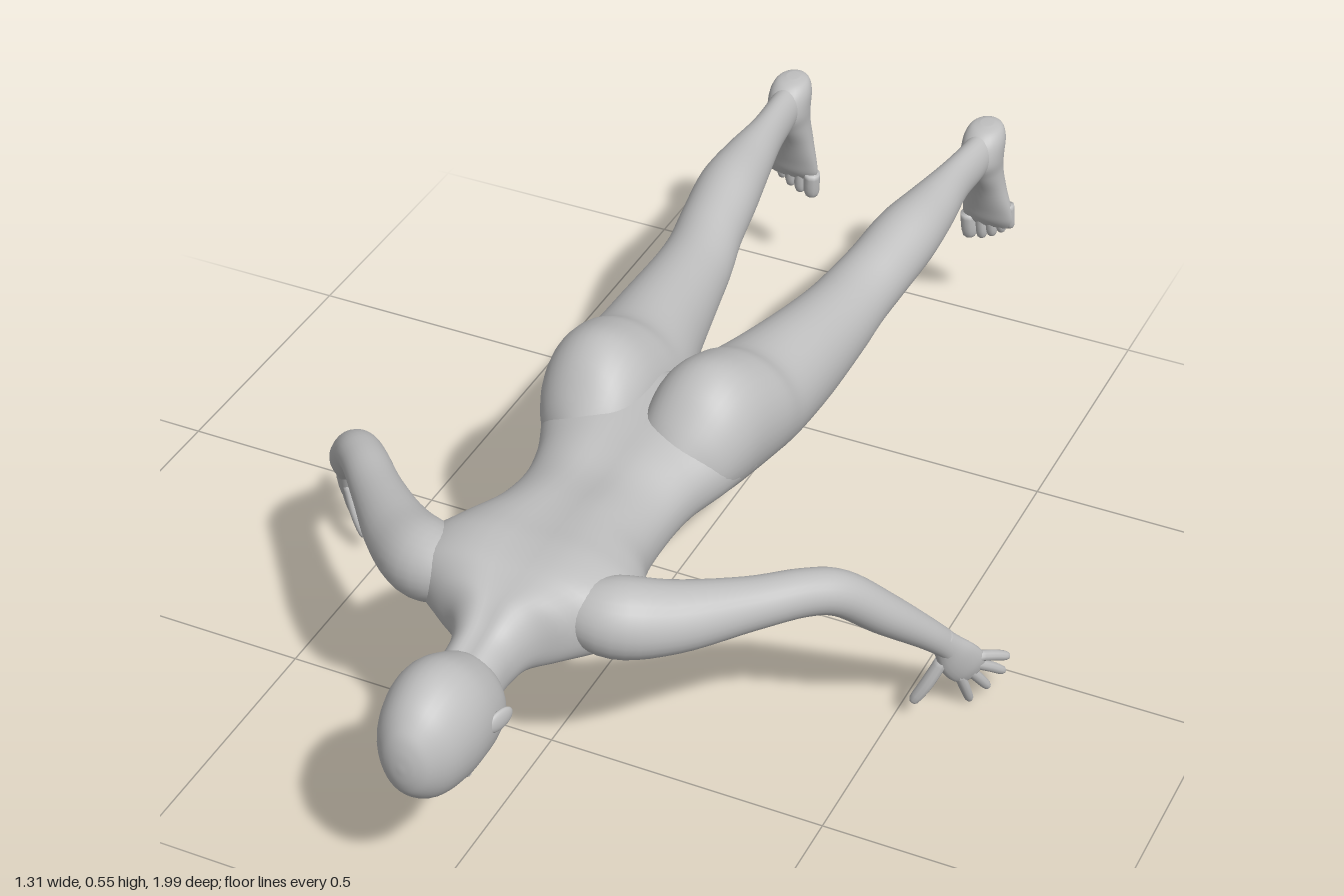
import * as THREE from 'three';

const skin = new THREE.MeshStandardMaterial({ color: 0xbfbfbf });
skin.name = 'plain grey';

const UP = [0, 1, 0], BACK = [0, 0, -1], DOWN = [0, -1, 0];

// Catmull-Rom blend of one value
function blend(a, b, c, d, t) {
  return 0.5 * (2 * b + (c - a) * t + (2 * a - 5 * b + 4 * c - d) * t * t + (3 * b - a - 3 * c + d) * t * t * t);
}

// Smooth skin over elliptical sections [x, y, z, halfWidth, halfThickness].
// ref is the thickness direction; axis, if given, keeps all sections parallel.
// side = -1 mirrors the part to the other half of the body.
function loft(name, rows, { ref = UP, axis = null, side = 1, seg = 28, steps = 5, power = 1, groove = 0 } = {}) {
  const last = rows.length - 1, rings = [];
  const row = i => rows[Math.max(0, Math.min(last, i))];
  for (let i = 0; i < last; i++)
    for (let k = 0; k < steps + (i === last - 1 ? 1 : 0); k++)
      rings.push(rows[0].map((_, n) => {
        const v = blend(row(i - 1)[n], row(i)[n], row(i + 1)[n], row(i + 2)[n], k / steps);
        return n === 0 ? v * side : n > 2 ? Math.max(v, 0.001) : v;
      }));
  const pos = [], idx = [], centre = rings.map(r => new THREE.Vector3(r[0], r[1], r[2]));
  const bend = v => Math.sign(v) * Math.abs(v) ** power;
  rings.forEach((r, i) => {
    const T = axis ? new THREE.Vector3(axis[0] * side, axis[1], axis[2])
      : centre[Math.min(i + 1, rings.length - 1)].clone().sub(centre[Math.max(i - 1, 0)]).normalize();
    const N = new THREE.Vector3(ref[0] * side, ref[1], ref[2]);
    N.addScaledVector(T, -N.dot(T)).normalize();
    const S = N.clone().cross(T);
    for (let j = 0; j < seg; j++) {
      const a = j / seg * Math.PI * 2, c = bend(Math.cos(a)), s = bend(Math.sin(a));
      const dip = s > 0 ? groove * Math.exp(-c * c * 12) * r[4] : 0;
      const p = centre[i].clone().addScaledVector(S, c * r[3]).addScaledVector(N, s * r[4] - dip);
      pos.push(p.x, p.y, p.z);
    }
  });
  for (let i = 0; i < rings.length - 1; i++)
    for (let j = 0; j < seg; j++) {
      const a = i * seg + j, b = i * seg + (j + 1) % seg;
      idx.push(a, b, a + seg, b, b + seg, a + seg);
    }
  // end caps
  const p0 = pos.length / 3, end = (rings.length - 1) * seg;
  pos.push(...centre[0].toArray(), ...centre[centre.length - 1].toArray());
  for (let j = 0; j < seg; j++) {
    const k = (j + 1) % seg;
    idx.push(p0, k, j, p0 + 1, end + j, end + k);
  }
  const g = new THREE.BufferGeometry();
  g.setAttribute('position', new THREE.Float32BufferAttribute(pos, 3));
  g.setIndex(idx);
  g.computeVertexNormals();
  const m = new THREE.Mesh(g, skin);
  m.name = name;
  return m;
}

// Section along z given by its top and bottom heights
const slice = ([z, top, bottom, half, x = 0]) => [x, (top + bottom) / 2, z, half, (top - bottom) / 2];

function blob(name, x, y, z, rx, ry, rz) {
  const m = new THREE.Mesh(new THREE.SphereGeometry(1, 24, 16), skin);
  m.name = name;
  m.position.set(x, y, z);
  m.scale.set(rx, ry, rz);
  return m;
}

// Finger or toe: round tapered rod through points
function digit(name, pts, r, side) {
  const a = pts[0], n = pts.length - 1, b = pts[n], e = pts[n - 1];
  const near = b.map((v, i) => v + (e[i] - v) * 0.15);
  const rows = [[...a, r, r], ...pts.slice(1, -1).map(p => [...p, r, r]), [...near, r * 0.8, r * 0.8], [...b, 0.001, 0.001]];
  return loft(name, rows, { ref: [0.77, 0, 0.64], side, seg: 10, steps: 3 });
}

export function createModel() {
  const model = new THREE.Group();
  model.name = 'proneFigure';

  // Neck, shoulders, back and hips
  model.add(loft('torso', [
    [0.84, 0.40, 0.32, 0.045], [0.78, 0.412, 0.29, 0.052], [0.73, 0.425, 0.295, 0.056],
    [0.69, 0.45, 0.305, 0.078], [0.66, 0.465, 0.31, 0.13], [0.62, 0.484, 0.31, 0.185],
    [0.56, 0.49, 0.29, 0.20], [0.50, 0.484, 0.285, 0.18], [0.42, 0.474, 0.28, 0.145],
    [0.32, 0.458, 0.287, 0.138], [0.24, 0.468, 0.295, 0.15], [0.16, 0.478, 0.30, 0.18],
    [0.06, 0.48, 0.30, 0.20], [0.01, 0.46, 0.30, 0.17], [-0.02, 0.42, 0.31, 0.08],
  ].map(slice), { axis: BACK, seg: 48, power: 0.9, groove: 0.1 }));

  // Head, face down
  const head = new THREE.Group();
  head.name = 'head';
  head.add(loft('skull', [
    [1.0, 0.345, 0.335, 0.004], [0.996, 0.375, 0.305, 0.024], [0.983, 0.405, 0.275, 0.045],
    [0.95, 0.437, 0.246, 0.069], [0.9, 0.455, 0.234, 0.083], [0.85, 0.45, 0.234, 0.085],
    [0.8, 0.424, 0.236, 0.077], [0.77, 0.40, 0.236, 0.063], [0.75, 0.36, 0.238, 0.042],
    [0.742, 0.31, 0.25, 0.018],
  ].map(slice), { axis: BACK, seg: 36 }));
  head.add(loft('nose', [
    [0, 0.242, 0.885, 0.006, 0.008], [0, 0.236, 0.86, 0.009, 0.012],
    [0, 0.228, 0.838, 0.014, 0.014], [0, 0.236, 0.824, 0.008, 0.004],
  ], { axis: BACK, seg: 14 }));
  head.add(blob('lips', 0, 0.237, 0.797, 0.024, 0.009, 0.011));
  head.add(blob('chin', 0, 0.246, 0.765, 0.026, 0.016, 0.018));
  for (const s of [1, -1]) {
    const ear = blob('ear', s * 0.086, 0.345, 0.835, 0.008, 0.019, 0.03);
    ear.rotation.y = -s * 0.25;
    head.add(ear, blob('eyelid', s * 0.034, 0.245, 0.868, 0.016, 0.009, 0.009));
  }
  model.add(head);

  for (const side of [1, -1]) {
    const word = side > 0 ? 'left' : 'right';

    model.add(blob(word + 'Breast', side * 0.085, 0.312, 0.465, 0.062, 0.057, 0.072));

    // Buttock, thigh, knee and calf
    const leg = new THREE.Group();
    leg.name = word + 'Leg';
    leg.add(loft('buttockThighAndCalf', [
      [0.23, 0.43, 0.34, 0.03, 0.085], [0.19, 0.485, 0.32, 0.075, 0.09], [0.14, 0.532, 0.31, 0.095, 0.098],
      [0.08, 0.55, 0.302, 0.104, 0.103], [0.0, 0.525, 0.296, 0.108, 0.109], [-0.07, 0.492, 0.284, 0.104, 0.112],
      [-0.2, 0.474, 0.282, 0.087, 0.13], [-0.34, 0.455, 0.30, 0.073, 0.145], [-0.42, 0.452, 0.318, 0.067, 0.153],
      [-0.5, 0.464, 0.335, 0.063, 0.166], [-0.6, 0.479, 0.352, 0.061, 0.178], [-0.7, 0.474, 0.365, 0.049, 0.186],
      [-0.8, 0.467, 0.376, 0.034, 0.191], [-0.88, 0.464, 0.378, 0.03, 0.197], [-0.94, 0.463, 0.39, 0.03, 0.2],
    ].map(slice), { axis: BACK, side, seg: 36 }));

    // Foot hanging down from the ankle, sole to the back
    leg.add(loft('foot', [
      [0.2, 0.473, -0.95, 0.012, 0.015], [0.2, 0.466, -0.946, 0.03, 0.036], [0.2, 0.445, -0.938, 0.039, 0.05],
      [0.2, 0.41, -0.932, 0.039, 0.055], [0.2, 0.375, -0.942, 0.037, 0.045], [0.201, 0.33, -0.957, 0.041, 0.032],
      [0.204, 0.28, -0.967, 0.049, 0.022], [0.205, 0.25, -0.972, 0.051, 0.017], [0.205, 0.232, -0.975, 0.044, 0.01],
    ], { axis: DOWN, ref: [0, 0, 1], side, seg: 28 }));
    [[0.167, 0.192, 0.016], [0.192, 0.195, 0.011], [0.212, 0.205, 0.011], [0.231, 0.218, 0.01], [0.248, 0.232, 0.01]]
      .forEach(([x, y, r]) => leg.add(digit('toe', [[x - 0.002, y + 0.055, -0.972], [x, y + 0.02, -0.975], [x, y, -0.98]], r, side)));
    model.add(leg);

    // Shoulder, upper arm and forearm
    const arm = new THREE.Group();
    arm.name = word + 'Arm';
    arm.add(loft('upperArmAndForearm', [
      [0.10, 0.405, 0.60, 0.05, 0.05], [0.17, 0.402, 0.592, 0.068, 0.066], [0.25, 0.392, 0.54, 0.06, 0.056],
      [0.34, 0.383, 0.45, 0.045, 0.046], [0.405, 0.376, 0.378, 0.04, 0.042], [0.45, 0.355, 0.33, 0.039, 0.04],
      [0.502, 0.285, 0.268, 0.036, 0.038], [0.55, 0.215, 0.205, 0.028, 0.028], [0.576, 0.17, 0.167, 0.024, 0.019],
      [0.588, 0.145, 0.152, 0.022, 0.014],
    ], { ref: [0.5, 0.6, 0.5], side }));

    // Hand, flat in an upright plane
    const palmSide = [0.77, 0, 0.64];
    arm.add(loft('palm', [
      [0.572, 0.185, 0.175, 0.02, 0.018], [0.58, 0.16, 0.162, 0.027, 0.018], [0.592, 0.128, 0.145, 0.036, 0.016],
      [0.604, 0.098, 0.125, 0.036, 0.013], [0.611, 0.078, 0.112, 0.026, 0.007],
    ], { ref: palmSide, side, seg: 20 }));
    [
      [[0.594, 0.09, 0.14], [0.599, 0.05, 0.122], [0.603, 0.004, 0.1]],
      [[0.603, 0.095, 0.127], [0.615, 0.058, 0.1], [0.626, 0.022, 0.075]],
      [[0.611, 0.102, 0.117], [0.629, 0.074, 0.082], [0.645, 0.047, 0.052]],
      [[0.617, 0.115, 0.11], [0.636, 0.1, 0.08], [0.652, 0.085, 0.055]],
    ].forEach(p => arm.add(digit('finger', p, 0.0095, side)));
    arm.add(digit('thumb', [[0.574, 0.135, 0.165], [0.553, 0.085, 0.18], [0.531, 0.042, 0.19]], 0.012, side));
    model.add(arm);
  }
  return model;
}
